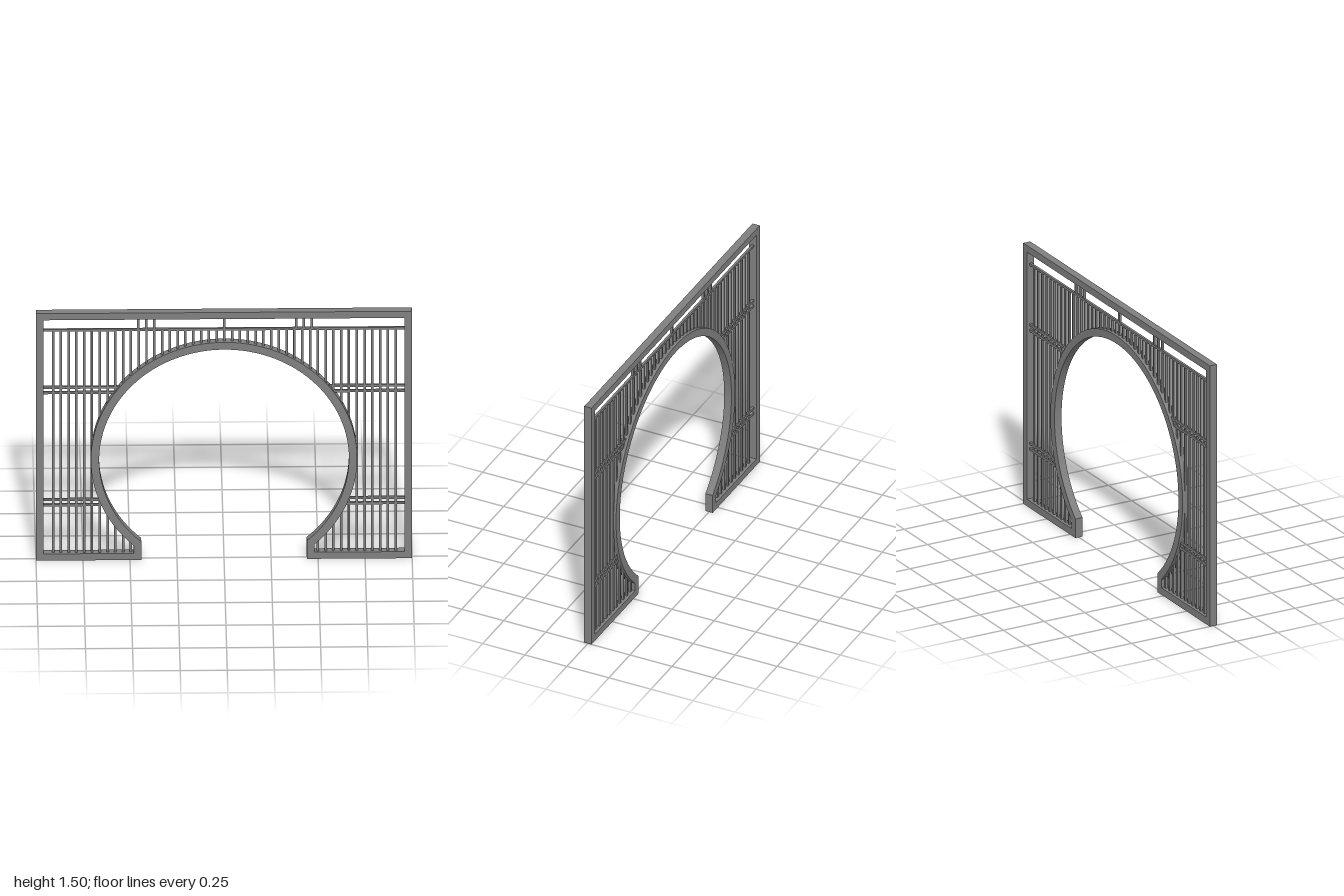
import * as THREE from 'three';

const DEPTH = 0.043, T = 0.04, TOP = 1.496;   // frame depth, face width and height
const CY = 0.607, R_IN = 0.664, R_OUT = 0.708, R_MID = 0.69;
const RAIL_Y = 1.385, BAR = 0.013, PITCH = 0.0414, SHIFT = 0.002;

const material = new THREE.MeshStandardMaterial({ color: 0x808080 });

// Rectangle with a round gateway cut up from its base
function gateOutline(PathType, side, bottom, top, foot, radius) {
  const path = new PathType();
  const a = Math.acos(foot / radius);
  path.moveTo(-side, bottom);
  path.lineTo(-foot, bottom);
  path.absarc(0, CY, radius, Math.PI + a, -a, true);
  path.lineTo(foot, bottom);
  path.lineTo(side, bottom);
  path.lineTo(side, top);
  path.lineTo(-side, top);
  path.closePath();
  return path;
}

function addBox(parent, name, x0, x1, y0, y1) {
  const mesh = new THREE.Mesh(new THREE.BoxGeometry(x1 - x0, y1 - y0, BAR), material);
  mesh.position.set((x0 + x1) / 2, (y0 + y1) / 2, 0);
  mesh.name = name;
  parent.add(mesh);
}

const addVertical = (parent, name, x, y0, y1) =>
  addBox(parent, name, x - BAR / 2, x + BAR / 2, y0, y1);

export function createModel() {
  const model = new THREE.Group();
  model.name = 'moonGate';

  // Continuous outer frame and circular arch
  const shape = gateOutline(THREE.Shape, 1, 0, TOP, 0.44, R_IN);
  shape.holes.push(gateOutline(THREE.Path, 1 - T, T, TOP - T, 0.48, R_OUT));
  const frameGeometry = new THREE.ExtrudeGeometry(shape, { depth: DEPTH, bevelEnabled: false, curveSegments: 72 });
  frameGeometry.translate(0, 0, -DEPTH / 2);
  const frame = new THREE.Mesh(frameGeometry, material);
  frame.name = 'frame';
  model.add(frame);

  // Vertical bars, interrupted by the arch
  const bars = new THREE.Group();
  bars.name = 'verticalBars';
  for (let k = -22; k <= 22; k++) {
    const x = k * PITCH + SHIFT, ax = Math.abs(x);
    if (ax >= R_MID) {
      addVertical(bars, 'fullBar', x, T, RAIL_Y);
      continue;
    }
    const h = Math.sqrt(R_MID * R_MID - x * x);
    addVertical(bars, 'upperBar', x, CY + h, RAIL_Y);
    if (ax > 0.48) addVertical(bars, 'lowerBar', x, T, CY - h);
  }
  model.add(bars);

  // Top rail and paired side rails
  const rails = new THREE.Group();
  rails.name = 'horizontalRails';
  addBox(rails, 'topRail', -0.96, 0.96, RAIL_Y - BAR / 2, RAIL_Y + BAR / 2);
  for (const y of [0.326, 0.358, 1.006, 1.038]) {
    const x = Math.sqrt(R_MID * R_MID - (y - CY) ** 2);
    addBox(rails, 'rightRail', -0.96, -x, y - BAR / 2, y + BAR / 2);
    addBox(rails, 'leftRail', x, 0.96, y - BAR / 2, y + BAR / 2);
  }
  model.add(rails);

  // Short struts between the top rail and the frame
  const struts = new THREE.Group();
  struts.name = 'topStruts';
  for (const x of [-0.457, -0.415, -0.373, 0, 0.382, 0.423, 0.465])
    addVertical(struts, 'strut', x + SHIFT, RAIL_Y, TOP - T);
  model.add(struts);

  return model;
}
